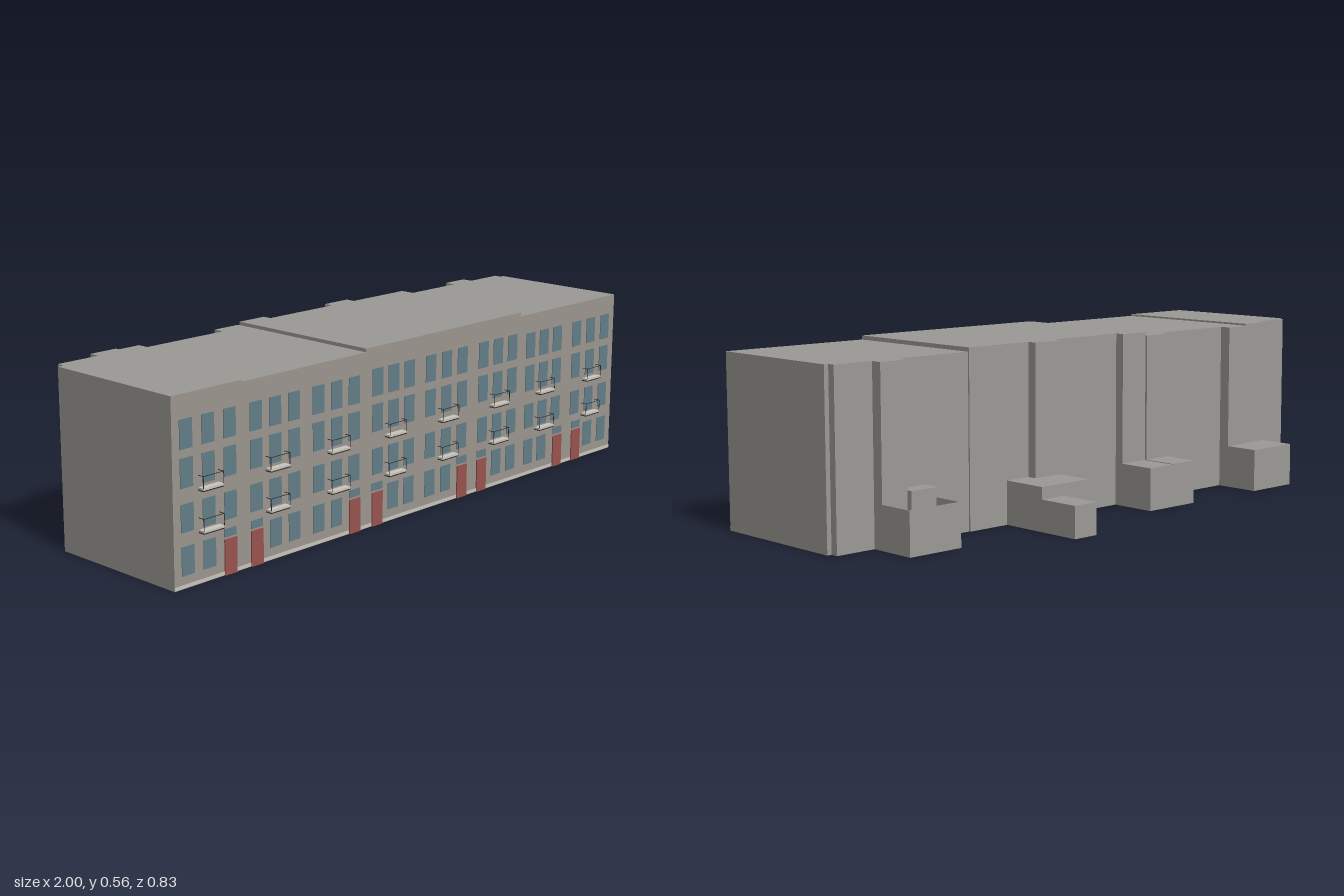
import * as THREE from 'three';

const mat = (name, color) => {
  const m = new THREE.MeshStandardMaterial({ color });
  m.name = name;
  return m;
};

export function createModel() {
  const stone = mat('stone grey', 0x9c9a95);
  const render = mat('facade warm grey', 0x9c968e);
  const glass = mat('window blue grey', 0x647e88);
  const red = mat('door red', 0x99534f);
  const iron = mat('iron dark', 0x2f2928);
  const pale = mat('balcony pale', 0xc9c5be);

  const root = new THREE.Group();
  root.name = 'terraceBuilding';
  const group = (name) => {
    const g = new THREE.Group();
    g.name = name;
    root.add(g);
    return g;
  };
  // Box given by its limits on each axis
  const box = (parent, name, material, x0, x1, y0, y1, z0, z1) => {
    const m = new THREE.Mesh(new THREE.BoxGeometry(x1 - x0, y1 - y0, z1 - z0), material);
    m.position.set((x0 + x1) / 2, (y0 + y1) / 2, (z0 + z1) / 2);
    m.name = name;
    parent.add(m);
  };
  const F = 0.395; // facade plane

  // Main blocks with stepped roofs: x0, x1, height, back z
  const body = group('mainBlocks');
  const blocks = [
    [-1, -0.98, 0.552, -0.09], [-0.98, -0.74, 0.552, -0.115],
    [-0.74, -0.24, 0.546, -0.12], [-0.24, 0.49, 0.557, -0.12],
    [0.49, 0.985, 0.544, -0.115], [0.985, 1, 0.544, -0.09],
  ];
  for (const [x0, x1, h, z] of blocks) {
    box(body, 'block', stone, x0, x1, 0, h, z, F - 0.004);
    box(body, 'facade', render, x0, x1, 0, h, F - 0.004, F);
  }
  box(body, 'plinth', pale, -1, 1, 0.002, 0.012, F, F + 0.001);

  // Full-height stair towers at the back
  const towers = group('stairTowers');
  const towerList = [
    [-0.835, -0.74, 0.552, -0.15], [-0.74, -0.645, 0.546, -0.157],
    [-0.34, -0.24, 0.546, -0.157], [-0.24, -0.135, 0.557, -0.15],
    [0.145, 0.25, 0.557, -0.152], [0.757, 0.85, 0.544, -0.152],
  ];
  for (const [x0, x1, h, z] of towerList) box(towers, 'tower', stone, x0, x1, 0, h, z, -0.11);

  // Low rear extensions
  const rear = group('rearExtensions');
  const extensions = [
    [-0.835, -0.645, 0.14, -0.275, -0.11], [-0.34, -0.24, 0.14, -0.275, -0.11],
    [-0.24, -0.135, 0.138, -0.275, -0.11], [0.145, 0.25, 0.138, -0.275, -0.11],
    [0.25, 0.34, 0.138, -0.275, -0.11], [0.25, 0.34, 0.1, -0.417, -0.275],
    [0.66, 0.85, 0.1, -0.275, -0.11], [0.66, 0.757, 0.165, -0.17, -0.11],
  ];
  for (const [x0, x1, h, z0, z1] of extensions) box(rear, 'extension', stone, x0, x1, 0, h, z0, z1);
  // Parapet round the sunken terrace
  box(rear, 'parapet', stone, 0.66, 0.85, 0.1, 0.135, -0.275, -0.272);
  box(rear, 'parapet', stone, 0.847, 0.85, 0.1, 0.135, -0.272, -0.152);
  box(rear, 'parapet', stone, 0.66, 0.663, 0.1, 0.135, -0.272, -0.17);

  // Front bays: centre x, window spacing, lift of the upper rows
  const bays = [
    [-0.87, 0.08, 0], [-0.615, 0.075, 0], [-0.366, 0.075, 0], [-0.118, 0.071, 0.008],
    [0.126, 0.075, 0.008], [0.377, 0.073, 0.008], [0.615, 0.071, 0], [0.87, 0.078, 0],
  ];
  const doorX = [-0.792, -0.69, -0.288, -0.19, 0.205, 0.302, 0.7, 0.803];
  const rows = [[0.038, 0.122], [0.162, 0.243], [0.288, 0.373], [0.398, 0.482]];
  const windows = group('windows');
  const doors = group('doors');
  const balconies = group('balconies');

  bays.forEach(([cx, gap, lift], i) => {
    const doorSide = i % 2 ? -1 : 1;
    rows.forEach(([y0, y1], r) => {
      const up = r > 1 ? lift : 0;
      for (const s of [-1, 0, 1]) {
        if (r === 0 && s === doorSide) continue;
        const x = cx + s * gap;
        box(windows, 'window', glass, x - 0.023, x + 0.023, y0 + up, y1 + up, F, F + 0.002);
      }
    });
    // Door with glazed light above
    const dx = doorX[i];
    box(doors, 'door', red, dx - 0.023, dx + 0.023, 0, 0.106, F, F + 0.004);
    box(doors, 'transom', glass, dx - 0.023, dx + 0.023, 0.112, 0.136, F, F + 0.002);

    // Two balconies with thin iron rails on the centre window
    for (const y of [0.148, 0.27]) {
      const a = cx - 0.038, b = cx + 0.038, z = 0.417, t = 0.0015;
      box(balconies, 'balconySlab', pale, a, b, y + 0.003, y + 0.009, F, z);
      box(balconies, 'slabEdge', iron, a, b, y, y + 0.003, F, z);
      box(balconies, 'frontRail', iron, a, b, y + 0.043, y + 0.043 + t, z - t, z);
      for (const x of [a, b - t]) {
        box(balconies, 'railPost', iron, x, x + t, y + 0.009, y + 0.043, z - t, z);
        box(balconies, 'sideRail', iron, x, x + t, y + 0.043, y + 0.043 + t, F, z - t);
      }
    }
  });
  return root;
}
